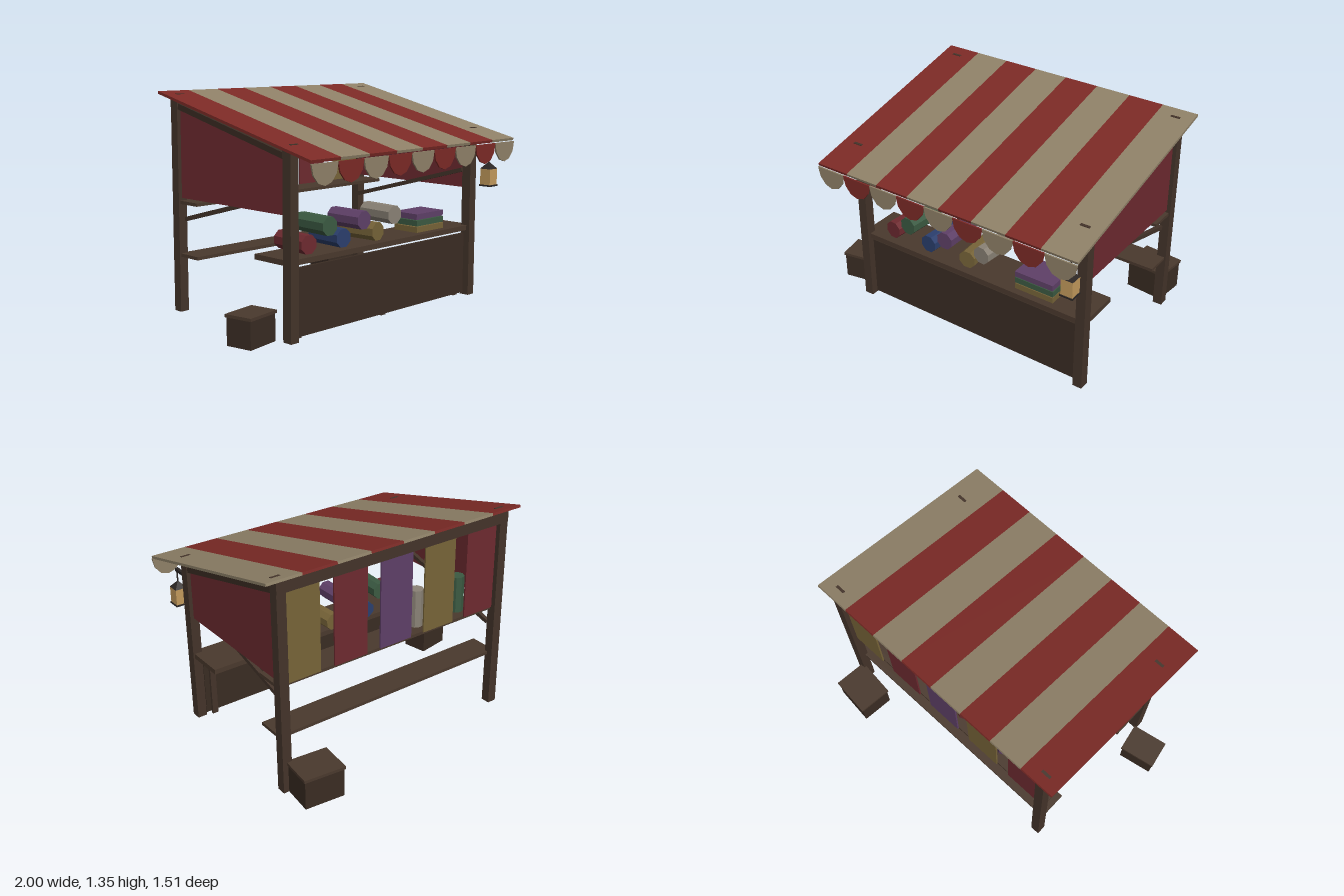
import * as THREE from 'three';

const C = { wood: 0x44342a, dark: 0x3a2c23, counter: 0x4a392d, red: 0x7c2a26, tan: 0x8f8168, wine: 0x6e2a30,
  purple: 0x5f4068, green: 0x3b5a42, blue: 0x2b3f6e, ochre: 0x776438, grey: 0x8a8276, iron: 0x2b2624, glow: 0xc39a5c };
const MID = 0.0975;      // x of the stall's centre line
const HALF = 0.7975;     // post offset from the centre line
const FRONT = 0.486, BACK = -0.5;

const mats = {};
const mat = (c) => (mats[c] ??= new THREE.MeshStandardMaterial({ color: C[c], flatShading: true, side: THREE.DoubleSide }));

function add(parent, name, geo, color, x = 0, y = 0, z = 0) {
  const m = new THREE.Mesh(geo, mat(color));
  m.name = name;
  m.position.set(x, y, z);
  parent.add(m);
  return m;
}
const box = (p, name, color, [w, h, d], [x, y, z]) => add(p, name, new THREE.BoxGeometry(w, h, d), color, x, y, z);

function buildFrame(g) {
  for (const s of [-1, 1]) {
    const x = MID + s * HALF;
    box(g, 'frontPost', 'wood', [0.06, 1.103, 0.064], [x, 0.5515, FRONT]);
    box(g, 'backPost', 'wood', [0.06, 1.339, 0.06], [x, 0.6695, BACK]);

    // Sloped beam between the posts
    const beam = box(g, 'sideBeam', 'dark', [0.05, 0.035, 0.95], [x, 1.15, -0.008]);
    beam.rotation.x = 0.241;

    // Brace inside the side cloth
    const brace = box(g, 'sideBrace', 'wood', [0.025, 0.026, 0.955], [x - s * 0.025, 0.70, -0.008]);
    brace.rotation.x = -0.266;

    // Hanging side cloth, cut to the roof slope
    const shape = new THREE.Shape([[0.456, 0.708], [0.456, 1.012], [-0.472, 1.239], [-0.472, 0.708]]
      .map(([z, y]) => new THREE.Vector2(z, y)));
    const cloth = new THREE.ExtrudeGeometry(shape, { depth: 0.012, bevelEnabled: false });
    cloth.translate(0, 0, -0.006).rotateY(-Math.PI / 2);
    add(g, 'sideCloth', cloth, 'wine', x);
  }
  box(g, 'frontBeam', 'wood', [1.655, 0.07, 0.066], [MID, 1.06, FRONT]);
  box(g, 'backBeam', 'wood', [1.655, 0.07, 0.066], [MID, 1.293, BACK]);
}

function buildRoof(g) {
  // Striped canopy
  const roof = new THREE.Group();
  roof.name = 'roof';
  roof.position.set(MID, 1.191, 0.0975);
  roof.rotation.x = 0.2347;
  const w = 1.805 / 8;
  for (let i = 0; i < 8; i++)
    box(roof, 'roofStripe', i % 2 ? 'tan' : 'red', [w, 0.016, 1.338], [(i - 3.5) * w, 0, 0]);
  g.add(roof);

  // Scalloped valance
  const pitch = 1.805 / 9, pts = [];
  for (let k = 0; k <= 6; k++) {
    const a = (k / 6) * Math.PI;
    pts.push(new THREE.Vector2(-Math.cos(a) * pitch / 2, -Math.sin(a) * 0.122));
  }
  const geo = new THREE.ExtrudeGeometry(new THREE.Shape(pts), { depth: 0.01, bevelEnabled: false });
  for (let i = 0; i < 9; i++)
    add(g, 'valanceScallop', geo, i % 2 ? 'red' : 'tan', MID + (i - 4) * pitch, 1.023, 0.745);
}

function buildCounter(g) {
  box(g, 'counterTop', 'counter', [1.635, 0.032, 0.285], [MID, 0.447, 0.3525]);
  box(g, 'counterPanel', 'dark', [1.525, 0.395, 0.02], [MID, 0.2125, 0.468]);
  for (const s of [-1, 0, 1])
    box(g, 'counterBatten', 'wood', [0.038, 0.4, 0.018], [MID + s * 0.71, 0.2, 0.449]);
  box(g, 'upperShelf', 'counter', [1.635, 0.02, 0.18], [MID, 0.682, -0.4]);
  box(g, 'lowerShelf', 'counter', [1.635, 0.02, 0.18], [MID, 0.355, -0.4]);
}

function buildGoods(g) {
  // Cloths hanging from the back beam
  ['wine', 'ochre', 'purple', 'wine', 'ochre'].forEach((c, i) =>
    box(g, 'hangingCloth', c, [0.23, 0.58, 0.01], [MID + (i - 2) * 0.325, 0.98, -0.497]));

  // Rolls standing on the upper shelf
  [['green', -0.465, 0.235], ['purple', -0.305, 0.26], ['grey', -0.14, 0.24], ['wine', 0.025, 0.26]]
    .forEach(([c, x, h]) => add(g, 'standingRoll', new THREE.CylinderGeometry(0.046, 0.046, h, 8), c, x, 0.692 + h / 2, -0.395));

  // Rolls stacked on the counter
  const roll = new THREE.CylinderGeometry(0.058, 0.058, 0.25, 8).rotateY(Math.PI / 8).rotateX(Math.PI / 2);
  [['wine', -0.51, 0, -0.08], ['green', -0.37, 1, -0.06], ['blue', -0.232, 0, -0.06],
    ['purple', -0.092, 1, 0], ['ochre', 0.05, 0, 0.06], ['grey', 0.19, 1, -0.08]]
    .forEach(([c, x, row, yaw]) => {
      add(g, 'clothRoll', roll, c, x, 0.52 + row * 0.09, row ? 0.345 : 0.32).rotation.y = yaw;
    });

  // Folded cloths
  ['ochre', 'green', 'purple'].forEach((c, i) =>
    box(g, 'foldedCloth', c, [0.26, 0.036, 0.185], [0.543 - (i === 2 ? 0.003 : 0), 0.483 + i * 0.041, 0.36]));
}

function buildLantern(g) {
  const l = new THREE.Group();
  l.name = 'lantern';
  l.position.set(MID + HALF, 0, 0.64);
  box(l, 'lanternArm', 'iron', [0.02, 0.02, 0.15], [0, 0.965, -0.07]);
  box(l, 'lanternHook', 'iron', [0.007, 0.075, 0.007], [0, 0.922, 0]);
  add(l, 'lanternCap', new THREE.ConeGeometry(0.055, 0.045, 4).rotateY(Math.PI / 4), 'iron', 0, 0.868, 0);
  box(l, 'lanternGlass', 'glow', [0.075, 0.103, 0.075], [0, 0.795, 0]);
  box(l, 'lanternBase', 'iron', [0.084, 0.01, 0.084], [0, 0.739, 0]);
  g.add(l);
}

function buildCrate(g, [w, h, d], x, z, yaw) {
  const c = new THREE.Group();
  c.name = 'crate';
  c.position.set(x, 0, z);
  c.rotation.y = yaw;
  box(c, 'crateBody', 'dark', [w - 0.014, h - 0.018, d - 0.014], [0, (h - 0.018) / 2, 0]);
  box(c, 'crateLid', 'counter', [w, 0.018, d], [0, h - 0.009, 0]);
  g.add(c);
}

export function createModel() {
  const g = new THREE.Group();
  g.name = 'marketStall';
  buildFrame(g);
  buildRoof(g);
  buildCounter(g);
  buildGoods(g);
  buildLantern(g);
  buildCrate(g, [0.235, 0.18, 0.18], -0.867, 0.343, 0.19);
  buildCrate(g, [0.265, 0.2, 0.22], 0.774, -0.634, -0.1);
  return g;
}
